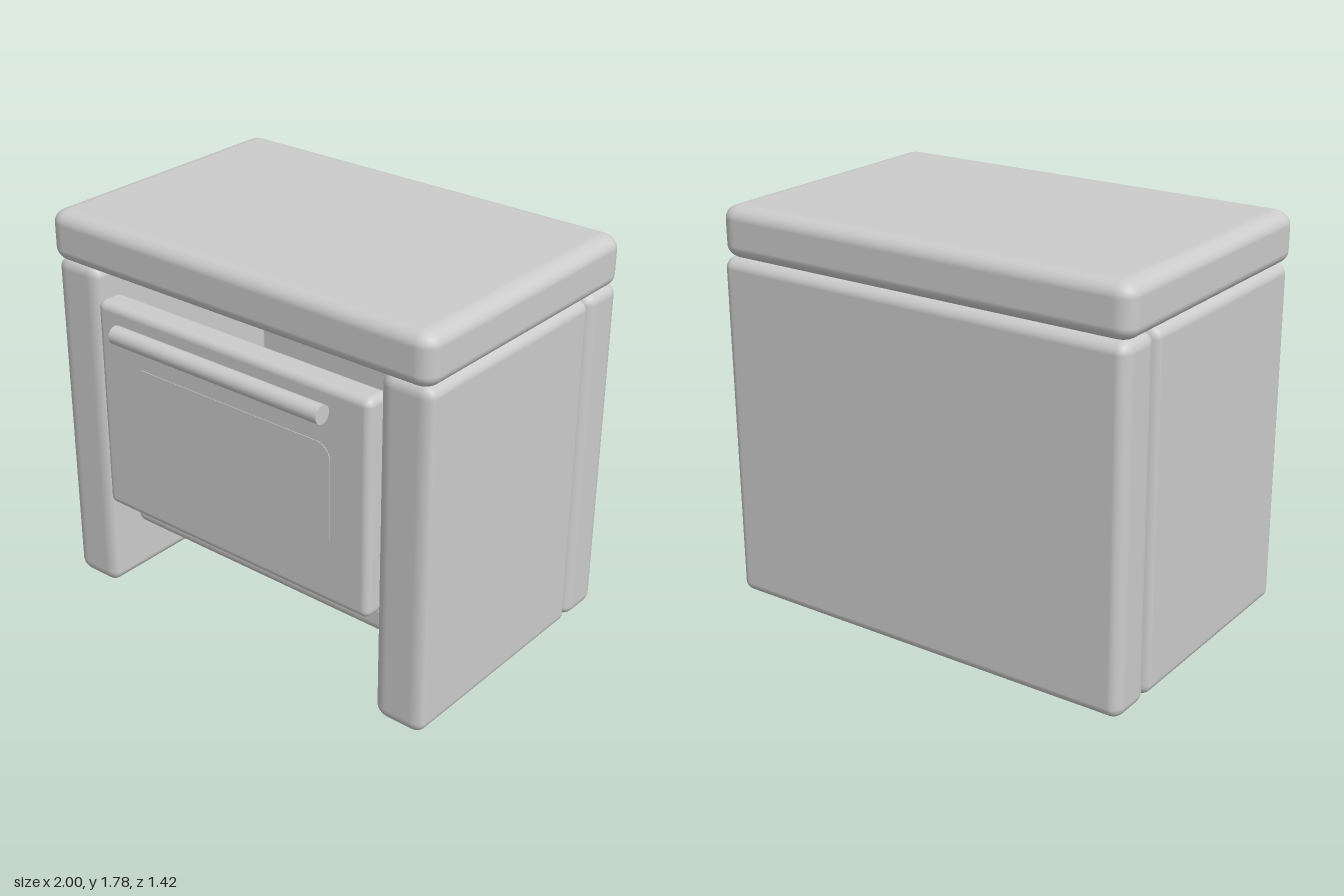
import * as THREE from 'three';
import { RoundedBoxGeometry } from 'three/addons/geometries/RoundedBoxGeometry.js';

export function createModel() {
  const model = new THREE.Group();
  const material = new THREE.MeshStandardMaterial({ color: 0xcccccc });

  function add(name, geometry) {
    const mesh = new THREE.Mesh(geometry, material);
    mesh.name = name;
    model.add(mesh);
    return mesh;
  }

  // Soft slab between two corners, with its own edge radius on each axis
  function slab(name, [x0, y0, z0], [x1, y1, z1], [rx, ry, rz]) {
    const geometry = new RoundedBoxGeometry((x1 - x0) / rx, (y1 - y0) / ry, (z1 - z0) / rz, 4, 1);
    geometry.scale(rx, ry, rz);
    geometry.translate((x0 + x1) / 2, (y0 + y1) / 2, (z0 + z1) / 2);
    return add(name, geometry);
  }

  // Body: worktop, back, two sides and the low shelf, open inside
  slab('worktop', [-1, 1.55, -0.7], [1, 1.78, 0.61], [0.08, 0.06, 0.07]);
  slab('backPanel', [-0.99, 0, -0.71], [0.99, 1.56, -0.49], [0.05, 0.05, 0.06]);
  slab('leftSide', [0.75, 0, -0.485], [0.99, 1.56, 0.585], [0.06, 0.05, 0.035]);
  slab('rightSide', [-0.99, 0, -0.485], [-0.75, 1.56, 0.585], [0.06, 0.05, 0.035]);
  slab('lowerShelf', [-0.75, 0.275, -0.5], [0.75, 0.41, 0.43], [0.04, 0.04, 0.03]);

  // Oven door
  slab('ovenDoor', [-0.73, 0.46, 0.48], [0.73, 1.44, 0.61], [0.035, 0.035, 0.035]);

  // Window pane with rounded corners, flush with the door
  const w = 0.54, h = 0.24, r = 0.07;
  const pane = new THREE.Shape();
  pane.absarc(w - r, h - r, r, 0, Math.PI / 2);
  pane.absarc(r - w, h - r, r, Math.PI / 2, Math.PI);
  pane.absarc(r - w, r - h, r, Math.PI, Math.PI * 1.5);
  pane.absarc(w - r, r - h, r, Math.PI * 1.5, Math.PI * 2);
  const paneGeometry = new THREE.ExtrudeGeometry(pane, { depth: 0.01, bevelEnabled: false });
  add('doorWindow', paneGeometry).position.set(0, 0.95, 0.603);

  // Handle bar and its two slanted posts
  const bar = add('handleBar', new THREE.CylinderGeometry(0.04, 0.04, 1.11, 32));
  bar.rotation.z = Math.PI / 2;
  bar.position.set(0, 1.355, 0.675);

  for (const x of [-0.47, 0.475]) {
    const path = new THREE.LineCurve3(new THREE.Vector3(x, 1.29, 0.58), new THREE.Vector3(x, 1.355, 0.675));
    add('handlePost', new THREE.TubeGeometry(path, 1, 0.016, 16));
  }

  return model;
}
